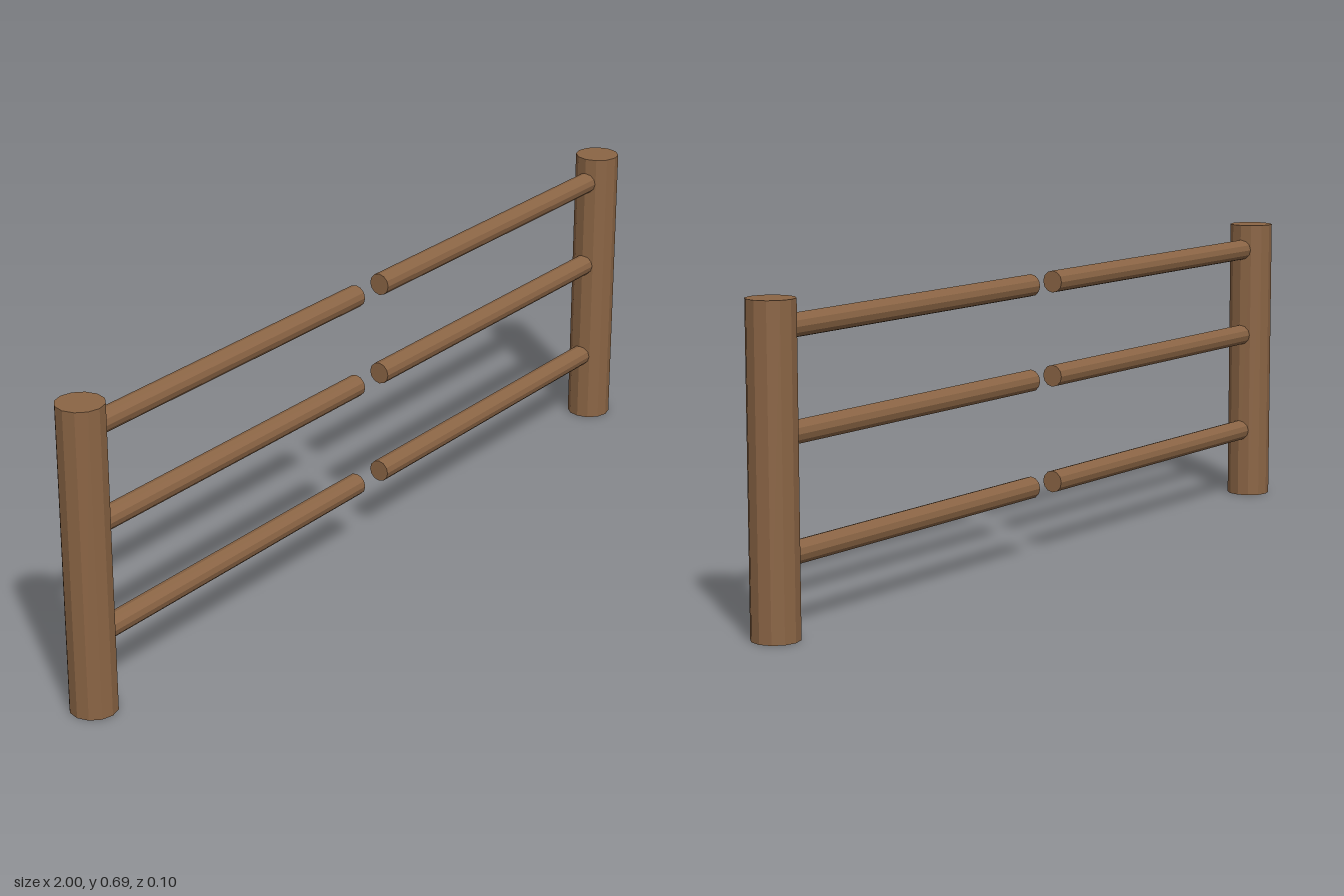
import * as THREE from 'three';

export function createModel() {
  const group = new THREE.Group();
  const wood = new THREE.MeshStandardMaterial({ color: 0x8b6545, flatShading: true });

  // Upright posts at both ends
  const postRadius = 0.052, postHeight = 0.69;
  const postGeometry = new THREE.CylinderGeometry(postRadius, postRadius, postHeight, 12);
  for (const [side, name] of [[1, 'leftPost'], [-1, 'rightPost']]) {
    const post = new THREE.Mesh(postGeometry, wood);
    post.name = name;
    post.position.set(side * (1 - postRadius), postHeight / 2, 0);
    group.add(post);
  }

  // Three half rails on each side, with a gap in the middle
  const levels = [['lower', 0.167], ['middle', 0.412], ['upper', 0.628]];
  for (const [inner, outer, side] of [[0.041, 0.905, 'Left'], [-0.045, -0.905, 'Right']]) {
    const length = Math.abs(outer - inner);
    const railGeometry = new THREE.CylinderGeometry(0.025, 0.025, length, 12).rotateZ(Math.PI / 2);
    for (const [level, y] of levels) {
      const rail = new THREE.Mesh(railGeometry, wood);
      rail.name = `${level}${side}Rail`;
      rail.position.set((inner + outer) / 2, y, 0);
      group.add(rail);
    }
  }
  return group;
}
